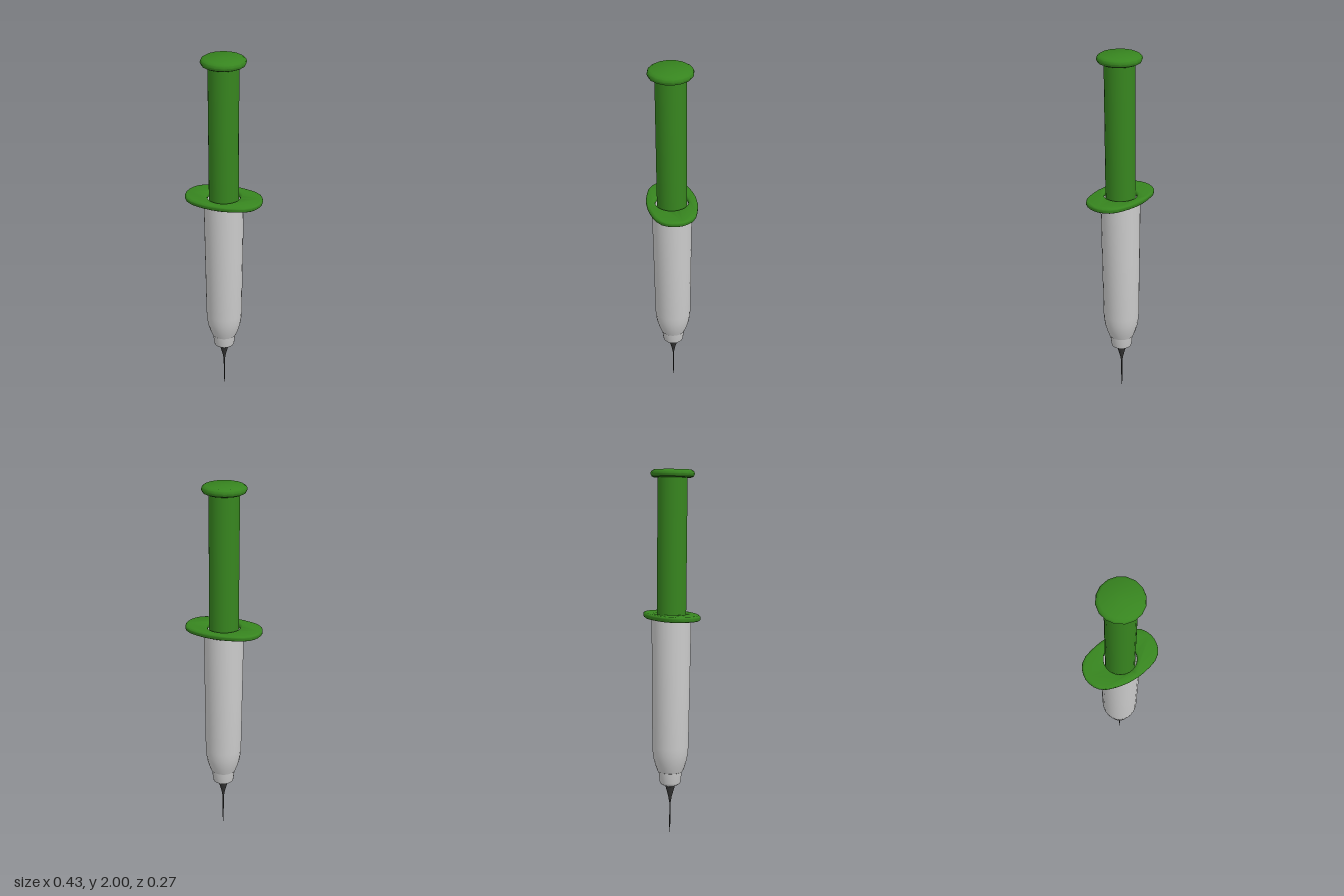
import * as THREE from 'three';
import { toCreasedNormals } from 'three/addons/utils/BufferGeometryUtils.js';

const green = new THREE.MeshStandardMaterial({ color: 0x37851f });
const grey = new THREE.MeshStandardMaterial({ color: 0xcccccc, side: THREE.DoubleSide });
const dark = new THREE.MeshStandardMaterial({ color: 0x333333 });

// Turned part from [radius, height] points listed bottom to top
function turned(name, points, material, sides = 24, crease = 0.7) {
  const profile = points.map(([r, y]) => new THREE.Vector2(r, y));
  const geometry = toCreasedNormals(new THREE.LatheGeometry(profile, sides), crease);
  const mesh = new THREE.Mesh(geometry, material);
  mesh.name = name;
  return mesh;
}

// Oval finger plate with a hole for the plunger
function makeFlange() {
  const bevel = 0.012;
  const quarter = [[0.213, 0], [0.209, 0.03], [0.2, 0.056], [0.183, 0.082], [0.152, 0.105],
    [0.115, 0.118], [0.07, 0.129], [0.028, 0.135]];
  const outline = [
    ...quarter,
    ...quarter.slice(1).reverse().map(([x, y]) => [-x, y]),
    ...quarter.map(([x, y]) => [-x, -y]),
    ...quarter.slice(1).reverse().map(([x, y]) => [x, -y]),
  ].map(([x, y]) => new THREE.Vector2(x * (1 - bevel / 0.213), y * (1 - bevel / 0.135)));
  const shape = new THREE.Shape(outline);
  shape.holes.push(new THREE.Path().absarc(0, 0, 0.1, 0, Math.PI * 2, true));
  const geometry = new THREE.ExtrudeGeometry(shape, {
    depth: 0.006, bevelThickness: bevel, bevelSize: bevel, bevelSegments: 3, curveSegments: 16,
  });
  geometry.rotateX(-Math.PI / 2);
  const mesh = new THREE.Mesh(toCreasedNormals(geometry, 0.8), green);
  mesh.name = 'fingerFlange';
  mesh.position.y = 1.217;
  return mesh;
}

export function createModel() {
  const model = new THREE.Group();
  model.name = 'syringe';

  // Plunger rod, reaching down inside the barrel
  model.add(turned('plungerRod', [[0, 0.6], [0.08, 0.6], [0.08, 1.965]], green));

  // Rounded thumb rest
  model.add(turned('thumbRest', [
    [0, 1.957], [0.1, 1.957], [0.112, 1.963], [0.118, 1.977], [0.114, 1.99], [0.1, 1.999], [0, 2],
  ], green, 16));

  model.add(makeFlange());

  // Barrel narrowing to a shoulder
  model.add(turned('barrel', [
    [0.06, 0.355], [0.07, 0.36], [0.081, 0.39], [0.091, 0.425], [0.097, 0.46], [0.1, 0.5],
    [0.104, 0.85], [0.108, 1.215],
  ], grey));

  // Stepped nozzle
  model.add(turned('nozzle', [
    [0, 0.274], [0.025, 0.275], [0.045, 0.284], [0.056, 0.292], [0.058, 0.3], [0.065, 0.36], [0, 0.36],
  ], grey));

  // Needle hub and needle
  model.add(turned('needleHub', [
    [0, 0.18], [0.004, 0.18], [0.01, 0.215], [0.026, 0.272], [0.026, 0.28],
  ], dark, 12));
  model.add(turned('needle', [[0, 0], [0.003, 0.04], [0.004, 0.2]], dark, 8));

  // Slight forward lean about mid height
  const lean = 0.009;
  model.children.forEach((part) => {
    part.rotation.x = lean;
    part.position.z += Math.sin(lean) * (part.position.y - 1);
  });
  return model;
}
